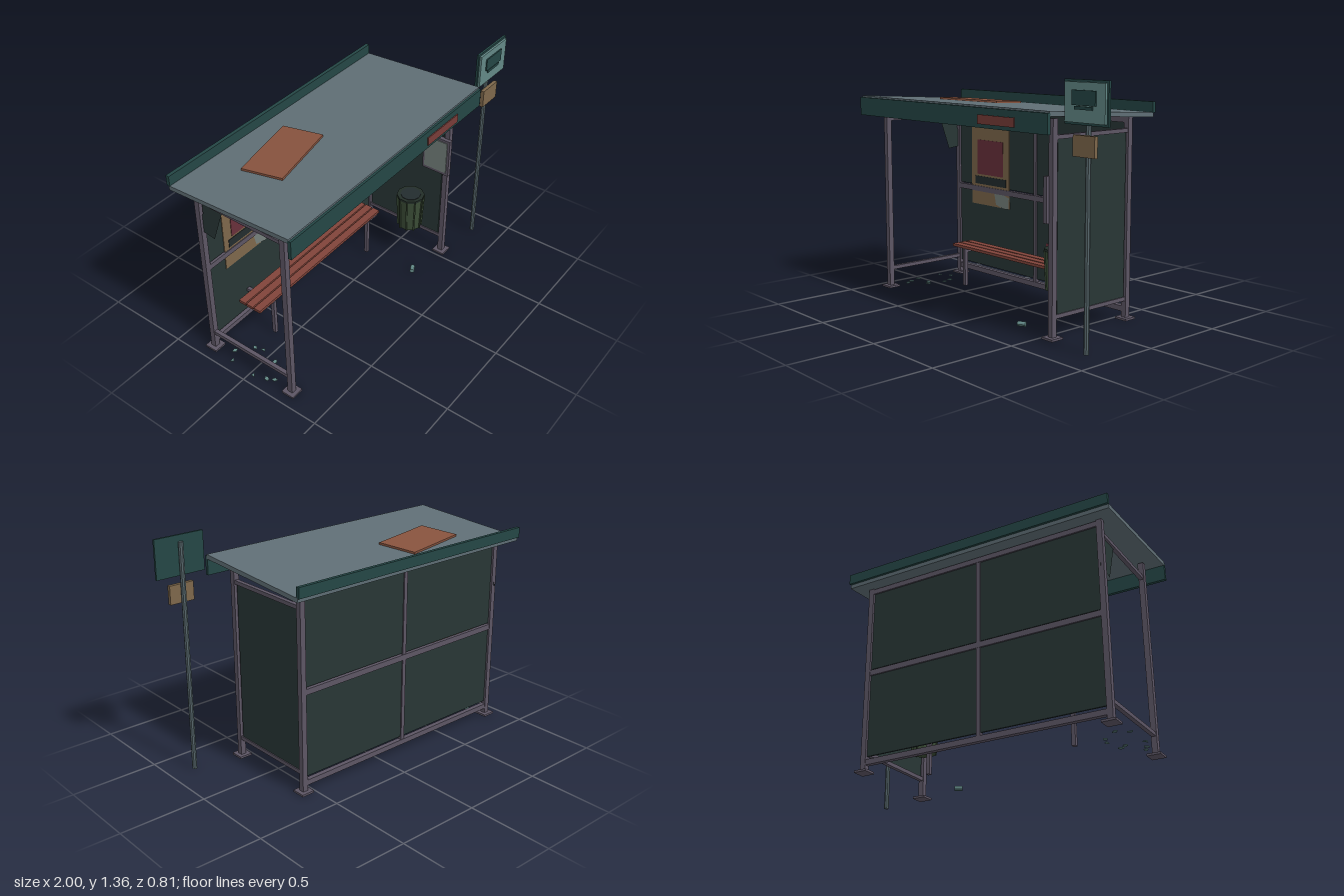
import * as THREE from 'three';

const paint = (color, side = THREE.FrontSide) =>
  new THREE.MeshStandardMaterial({ color, side, flatShading: true });

const M = {
  frame: paint(0x5c5564), glass: paint(0x283635), shard: paint(0x283635, THREE.DoubleSide),
  fascia: paint(0x244645), roof: paint(0x5f6e75), wood: paint(0x80443a), rust: paint(0x87533e),
  tan: paint(0x7d674b), red: paint(0x68303a), redPatch: paint(0x773c38), dark: paint(0x232c2e),
  teal: paint(0x2d5c5e), paleTeal: paint(0x628886), paper: paint(0x75807c, THREE.DoubleSide),
  pole: paint(0x56666b), bin: paint(0x3a4c36), binRim: paint(0x232e28),
};

export function createModel() {
  const root = new THREE.Group();

  const add = (name, geometry, material, x = 0, y = 0, z = 0, parent = root) => {
    const mesh = new THREE.Mesh(geometry, material);
    mesh.name = name;
    mesh.position.set(x, y, z);
    parent.add(mesh);
    return mesh;
  };
  // box given by its limits on each axis
  const span = (name, material, x0, x1, y0, y1, z0, z1, parent = root) =>
    add(name, new THREE.BoxGeometry(x1 - x0, y1 - y0, z1 - z0), material,
      (x0 + x1) / 2, (y0 + y1) / 2, (z0 + z1) / 2, parent);
  const flat = points => new THREE.ShapeGeometry(
    new THREE.Shape(points.map(([x, y]) => new THREE.Vector2(x, y))));

  const LEFT = 0.557, RIGHT = -0.905, FRONT = 0.267, BACK = -0.295, MID = -0.172;

  // corner posts with foot plates, and the side rails
  for (const x of [LEFT, RIGHT]) {
    for (const [z, top] of [[FRONT, 1.15], [BACK, 1.135]]) {
      span('post', M.frame, x - 0.016, x + 0.016, 0, top, z - 0.016, z + 0.016);
      span('footPlate', M.frame, x - 0.039, x + 0.039, 0, 0.012, z - 0.039, z + 0.039);
    }
    for (const y of [0.119, 1.054])
      span('sideRail', M.frame, x - 0.012, x + 0.012, y - 0.011, y + 0.011, BACK, FRONT);
  }

  // back wall: rails, mullion and four panes
  for (const [y0, y1] of [[0.042, 0.073], [0.572, 0.605], [1.095, 1.125]])
    span('backRail', M.frame, RIGHT, LEFT, y0, y1, BACK - 0.014, BACK + 0.014);
  span('backMullion', M.frame, MID - 0.012, MID + 0.012, 0.07, 1.1, BACK - 0.012, BACK + 0.012);
  for (const [x0, x1] of [[RIGHT + 0.018, MID - 0.01], [MID + 0.01, LEFT - 0.018]])
    for (const [y0, y1] of [[0.092, 0.574], [0.612, 1.096]])
      span('backPane', M.glass, x0, x1, y0, y1, BACK - 0.005, BACK + 0.005);

  // left pane, and the broken remnant on the other side
  span('sidePane', M.glass, LEFT - 0.006, LEFT + 0.006, 0.125, 1.05, -0.271, 0.24);
  const shard = add('brokenPane',
    flat([[0.27, 1.05], [0.13, 1.05], [0.205, 0.835], [0.32, 0.85], [0.272, 0.97]]), M.shard, RIGHT);
  shard.rotation.y = Math.PI / 2;

  // sloping roof with a rusty patch
  const roof = new THREE.Group();
  roof.name = 'roof';
  roof.position.y = 1.161;
  roof.rotation.x = -0.06;
  root.add(roof);
  span('roofSheet', M.roof, -1, 0.652, -0.0125, 0.0125, -0.39, 0.385, roof);
  add('roofPatch', new THREE.BoxGeometry(0.435, 0.012, 0.24), M.rust, -0.465, 0.0185, -0.104, roof)
    .rotation.y = 0.197;

  // fascia boards
  span('frontFascia', M.fascia, -1, 0.652, 1.08, 1.187, 0.377, 0.397);
  span('rearFascia', M.fascia, -1, 0.652, 1.148, 1.208, -0.403, -0.382);
  span('fasciaPatch', M.redPatch, 0.12, 0.41, 1.1, 1.15, 0.395, 0.403);

  // bench with three slats on two legs
  for (let i = 0; i < 3; i++) {
    const z = -0.118 - i * 0.054;
    span('benchSlat', M.wood, -0.735, 0.385, 0.234, 0.251, z - 0.023, z + 0.023);
  }
  for (const x of [-0.615, 0.265]) {
    span('benchLeg', M.frame, x - 0.011, x + 0.011, 0, 0.235, -0.111, -0.089);
    span('benchBracket', M.frame, x - 0.011, x + 0.011, 0.214, 0.234, BACK, -0.1);
  }

  // torn poster on the back wall
  span('posterSheet', M.tan, -0.77, -0.408, 0.488, 0.98, -0.29, -0.286);
  span('posterPicture', M.red, -0.71, -0.465, 0.683, 0.903, -0.286, -0.283);
  span('posterBand', M.dark, -0.735, -0.44, 0.62, 0.67, -0.286, -0.283);
  add('posterTear', flat([[-0.545, 0.57], [-0.53, 0.505], [-0.46, 0.485], [-0.41, 0.49], [-0.408, 0.56], [-0.47, 0.575]]),
    M.paper, 0, 0, -0.282);

  // paint strokes on the back wall
  for (const [mat, w, h, x, y, turn] of [
    [M.teal, 0.255, 0.045, 0.175, 0.458, -0.24],
    [M.teal, 0.15, 0.036, 0.265, 0.395, 0.42],
    [M.red, 0.195, 0.025, 0.022, 0.306, -0.1],
  ]) add('paintStroke', new THREE.BoxGeometry(w, h, 0.004), mat, x, y, -0.287).rotation.z = turn;

  // timetable case on the left pane
  span('timetableCase', M.frame, 0.52, 0.545, 0.612, 0.856, 0.12, 0.3);
  span('timetableSheet', M.paper, 0.515, 0.52, 0.632, 0.84, 0.135, 0.285);

  // litter bin and its bracket
  const bin = new THREE.Group();
  bin.name = 'litterBin';
  bin.position.set(0.438, 0, 0.1);
  root.add(bin);
  add('binBody', new THREE.CylinderGeometry(0.08, 0.07, 0.22, 10), M.bin, 0, 0.32, 0, bin);
  for (let i = 0; i < 10; i++) {
    const a = (i / 10) * Math.PI * 2;
    const rib = add('binRib', new THREE.BoxGeometry(0.008, 0.22, 0.008), M.bin,
      Math.sin(a) * 0.077, 0.32, Math.cos(a) * 0.077, bin);
    rib.rotation.set(0.045, a, 0, 'YXZ');
  }
  add('binRim', new THREE.CylinderGeometry(0.084, 0.084, 0.014, 10), M.binRim, 0, 0.433, 0, bin);
  add('binOpening', new THREE.CylinderGeometry(0.062, 0.062, 0.004, 10), M.dark, 0, 0.441, 0, bin);
  span('binBracket', M.frame, 0.07, 0.117, 0.38, 0.4, -0.015, 0.015, bin);

  // stop sign on its pole
  add('signPole', new THREE.CylinderGeometry(0.014, 0.014, 1.32, 8), M.pole, 0.85, 0.66, 0.315);
  span('signBack', M.fascia, 0.706, 1, 1.137, 1.355, 0.324, 0.337);
  span('signFace', M.paleTeal, 0.718, 0.988, 1.149, 1.343, 0.337, 0.349);
  span('signPanel', M.fascia, 0.772, 0.93, 1.232, 1.305, 0.349, 0.356);
  span('signStrip', M.fascia, 0.792, 0.91, 1.212, 1.228, 0.349, 0.356);
  span('routePlate', M.tan, 0.778, 0.924, 0.985, 1.09, 0.329, 0.35);

  // glass fragments on the ground
  [[-0.934, -0.14], [-0.785, -0.105], [-0.833, 0.03], [-0.945, 0.025], [-0.9, 0.14],
    [-0.8, 0.055], [-0.77, -0.055], [-0.87, -0.18], [-0.92, 0.1]].forEach(([x, z], i) => {
    const bit = add('glassFragment',
      new THREE.CylinderGeometry(0.018, 0.018, 0.005, 3 + (i % 3)), M.paleTeal, x, 0.0025, z);
    bit.rotation.y = i * 1.3;
    bit.scale.z = 0.7;
  });

  // dropped can
  const can = add('can', new THREE.CylinderGeometry(0.014, 0.014, 0.045, 10), M.paleTeal, 0.285, 0.015, 0.235);
  can.rotation.set(0, 0.5, Math.PI / 2);

  return root;
}
